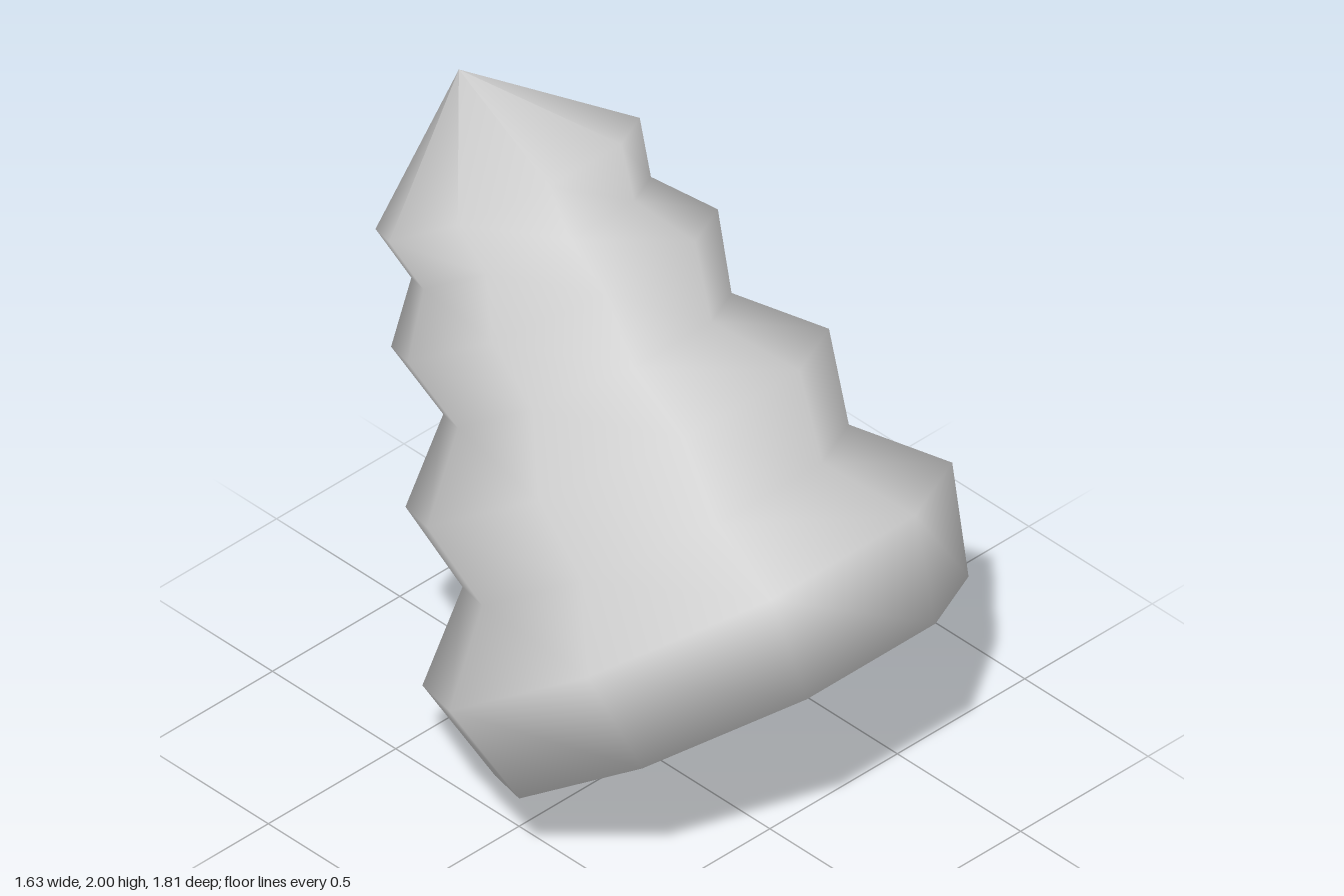
import * as THREE from 'three';

const SIDES = 9;
const STEP = (Math.PI * 2) / SIDES;

export function createModel() {
  const group = new THREE.Group();

  // Profile along the horn's axis: [radius, height]
  const profile = [
    [0.49, 0.155],                 // recessed inner edge of the mouth
    [0.739, 0],                    // mouth rim
    [0.827, 0.316], [0.603, 0.538],
    [0.661, 0.811], [0.45, 1.02],
    [0.51, 1.254], [0.374, 1.418],
    [0.4125, 1.585], [0, 1.926],   // tip
  ].map(([r, h]) => new THREE.Vector2(r, h));

  // Stepped hollow shell, one corner of each ring pointing back
  const shellGeo = new THREE.LatheGeometry(profile, SIDES, Math.PI);

  // Leave out one facet of the lowest step, at the back left
  const facet = 2;
  const index = Array.from(shellGeo.index.array);
  index.splice(((SIDES - 1) * (profile.length - 1) + facet) * 6, 6);
  shellGeo.setIndex(index);

  const shell = new THREE.Mesh(shellGeo, new THREE.MeshStandardMaterial({
    color: 0xcccccc, side: THREE.DoubleSide,
  }));
  shell.name = 'steppedShell';

  // Flat panel filling that facet
  const panel = new THREE.Mesh(
    new THREE.LatheGeometry(profile.slice(facet, facet + 2), 1, Math.PI - STEP, STEP),
    new THREE.MeshStandardMaterial({ color: 0xcccccc, side: THREE.DoubleSide, flatShading: true }),
  );
  panel.name = 'flatPanel';

  // Tilt the axis backwards so the mouth faces down and forward
  const horn = new THREE.Group();
  horn.name = 'horn';
  horn.add(shell, panel);
  horn.rotation.x = -0.609;
  horn.position.set(0, 0.423, 0.341);
  group.add(horn);
  return group;
}
